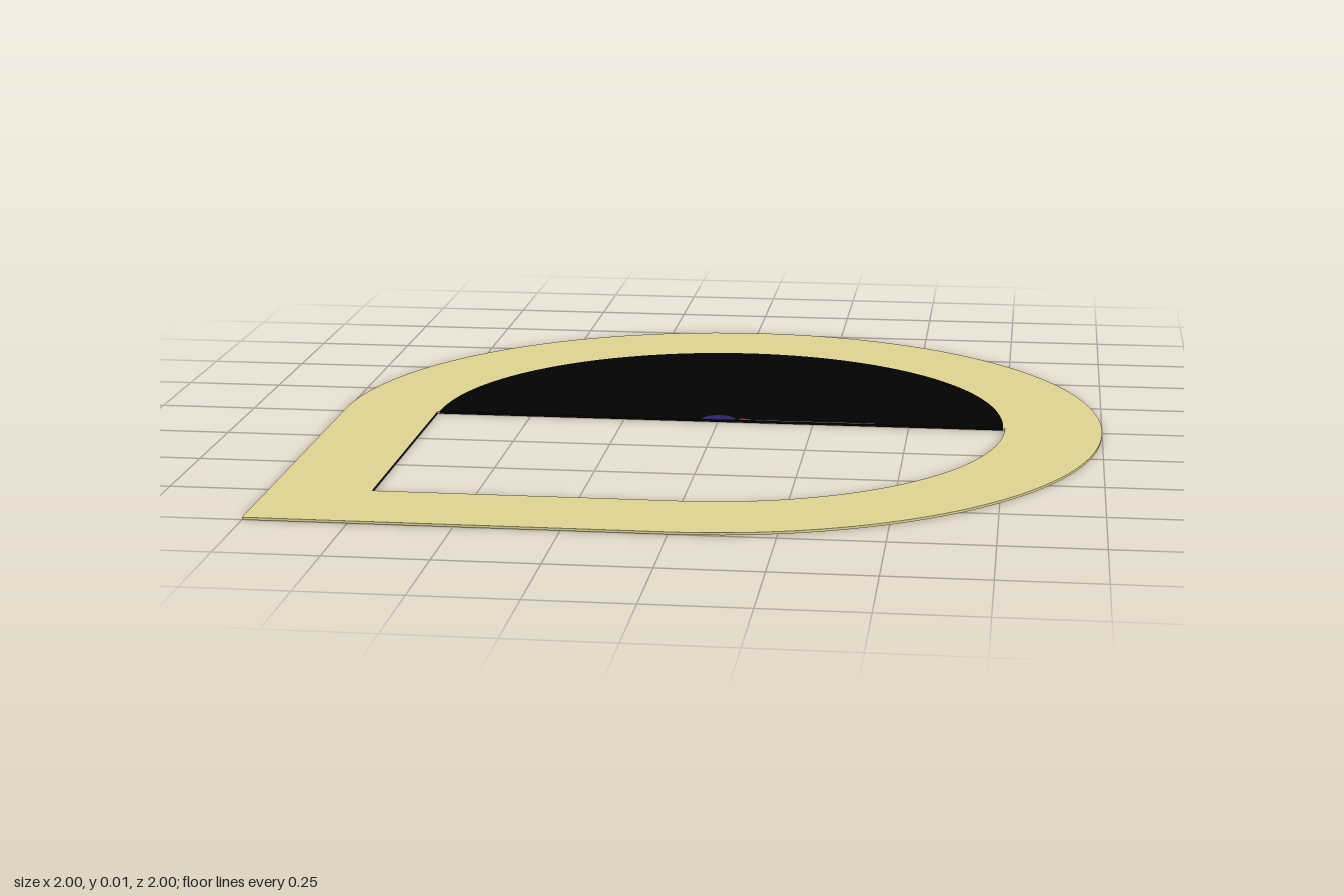
import * as THREE from 'three';

const THICK = 0.006;
const PANEL_R = 0.745;
const OPENING_R = 0.75;

// Teardrop outline: three rounded quarters and one square corner at front right
function teardrop(path, r) {
  path.moveTo(-r, -r);
  path.lineTo(0, -r);
  path.absarc(0, 0, r, -Math.PI / 2, Math.PI, false);
  path.lineTo(-r, -r);
  return path;
}

// Half disc, or half ring when an inner radius is given, on the back side
function halfDisc(r, inner = 0) {
  const s = new THREE.Shape();
  s.absarc(0, 0, r, 0, Math.PI, false);
  if (inner > 0) s.absarc(0, 0, inner, Math.PI, 0, true);
  s.closePath();
  return s;
}

// Rectangle from its corners
function rectangle(x0, x1, y0, y1) {
  return new THREE.Shape([
    new THREE.Vector2(x0, y0), new THREE.Vector2(x1, y0),
    new THREE.Vector2(x1, y1), new THREE.Vector2(x0, y1),
  ]);
}

export function createModel() {
  const group = new THREE.Group();
  const mat = (name, color) => {
    const m = new THREE.MeshStandardMaterial({ color });
    m.name = name;
    return m;
  };
  const khaki = mat('khaki', 0xddd391);
  const olive = mat('olive', 0x7c7755);
  const black = mat('black', 0x020202);
  const purple = mat('purple', 0x2c2068);
  const red = mat('red', 0xa82024);
  const grey = mat('grey', 0x6a6a6a);

  function add(name, geo, material) {
    geo.rotateX(-Math.PI / 2);
    const mesh = new THREE.Mesh(geo, material);
    mesh.name = name;
    group.add(mesh);
    return mesh;
  }

  // Extruded plate; materials are given as underside, top, outer wall, inner wall
  function plate(name, shape, materials) {
    const geo = new THREE.ExtrudeGeometry(shape, { depth: THICK, bevelEnabled: false, curveSegments: 72 });
    const [lids, walls] = geo.groups;
    geo.clearGroups();
    [lids, walls].forEach((g, i) => {
      const half = g.count / 2;
      geo.addGroup(g.start, half, i * 2);
      geo.addGroup(g.start + half, half, i * 2 + 1);
    });
    add(name, geo, materials);
  }

  // Flat painted face just above the panel
  function paint(name, shape, material, lift) {
    add(name, new THREE.ShapeGeometry(shape, 24), material).position.y = THICK + lift;
  }

  // Flat frame with a matching teardrop opening, and a narrow rim around the panel
  const frame = teardrop(new THREE.Shape(), 1);
  frame.holes.push(teardrop(new THREE.Path(), OPENING_R));
  plate('frame', frame, [olive, khaki, khaki, black]);
  plate('panelRim', halfDisc(OPENING_R, PANEL_R), [olive, khaki, khaki, khaki]);

  // Dark panel filling the back half of the opening
  plate('halfPanel', halfDisc(PANEL_R), [black, black, black, black]);

  // Small coloured details along the middle of the panel's straight edge
  paint('centrePatch', halfDisc(0.044), purple, 0.001);
  paint('redMark', rectangle(0.056, 0.084, 0.003, 0.015), red, 0.001);
  paint('edgeLine', rectangle(0.1, 0.41, 0, 0.005), grey, 0.001);

  return group;
}
